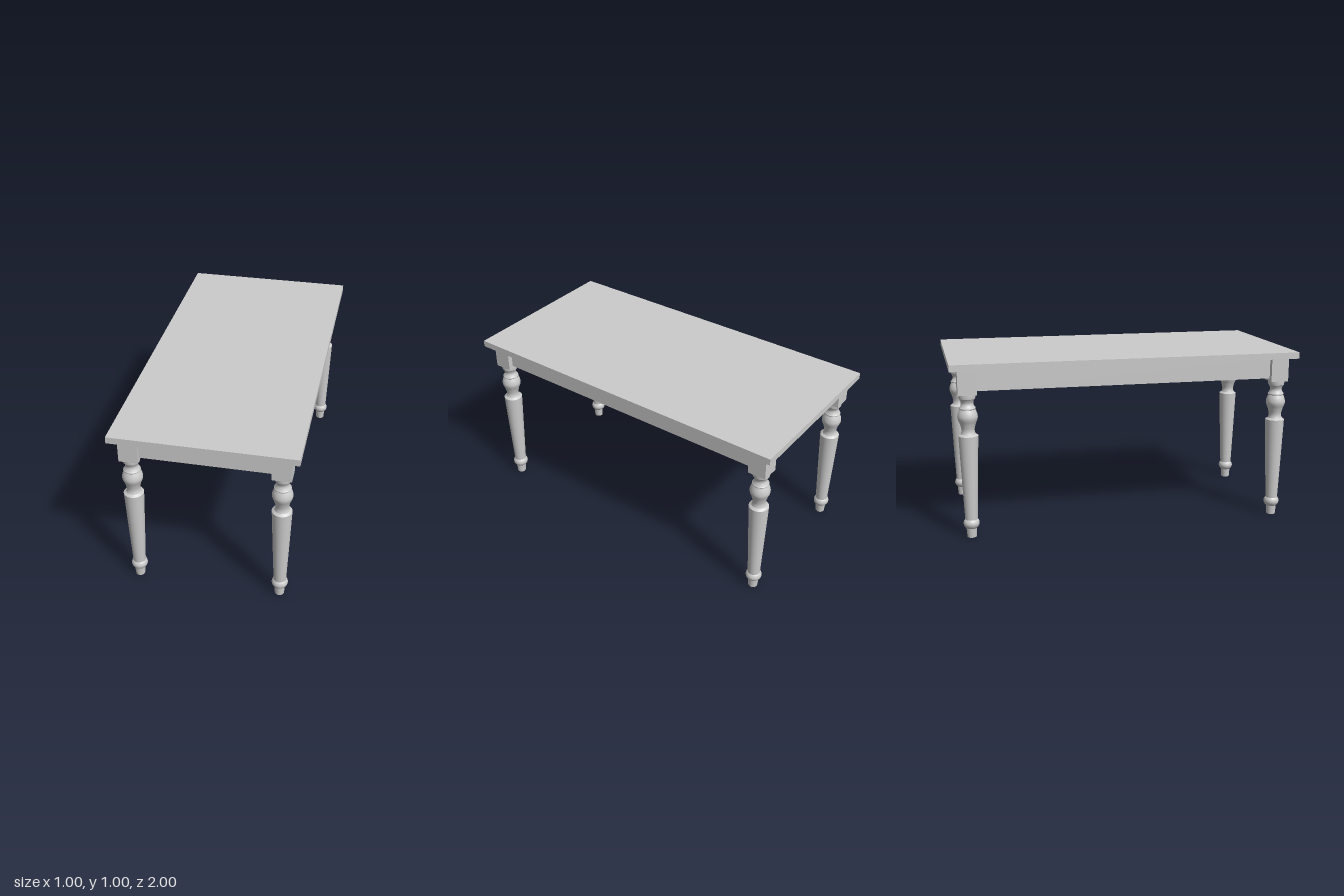
import * as THREE from 'three';

const material = new THREE.MeshStandardMaterial({ color: 0xcccccc });

function box(name, w, h, d, x, y, z) {
  const mesh = new THREE.Mesh(new THREE.BoxGeometry(w, h, d), material);
  mesh.name = name;
  mesh.position.set(x, y, z);
  return mesh;
}

// Turned section from [radius, height] points listed bottom to top
function turned(name, points, curved) {
  let profile = points.map(([r, y]) => new THREE.Vector2(r, y));
  if (curved) profile = new THREE.SplineCurve(profile).getPoints(points.length * 4);
  const mesh = new THREE.Mesh(new THREE.LatheGeometry(profile, 32), material);
  mesh.name = name;
  return mesh;
}

// Each section is smooth in itself and meets its neighbours at a sharp edge
const legSections = [
  ['footBase', [[0, 0], [0.026, 0]]],
  ['foot', [[0.026, 0], [0.030, 0.053]]],
  ['ankleBulb', [[0.030, 0.053], [0.038, 0.061], [0.044, 0.073], [0.045, 0.085], [0.041, 0.097], [0.035, 0.105]], true],
  ['taperedShaft', [[0.035, 0.105], [0.045, 0.34], [0.055, 0.59]]],
  ['shaftShoulder', [[0.055, 0.59], [0.041, 0.600]]],
  ['vase', [[0.041, 0.600], [0.037, 0.613], [0.037, 0.630], [0.044, 0.657], [0.053, 0.680], [0.056, 0.697], [0.052, 0.718], [0.043, 0.739]], true],
  ['ring', [[0.043, 0.739], [0.046, 0.742], [0.046, 0.747], [0.043, 0.750]], true],
  ['neck', [[0.043, 0.750], [0.036, 0.763], [0.034, 0.774], [0.037, 0.785], [0.042, 0.795]], true],
  ['collarStep', [[0.042, 0.795], [0.045, 0.798]]],
  ['collar', [[0.045, 0.798], [0.047, 0.808], [0.047, 0.825]]],
];

function createLeg() {
  const leg = new THREE.Group();
  leg.name = 'leg';
  for (const [name, points, curved] of legSections) leg.add(turned(name, points, curved));
  // Square block at the head of the leg
  leg.add(box('legBlock', 0.104, 0.141, 0.104, 0, 0.8935, 0));
  return leg;
}

export function createModel() {
  const table = new THREE.Group();
  table.name = 'table';
  table.add(box('tableTop', 1, 0.037, 2, 0, 0.9815, 0));

  const legX = 0.404, legZ = 0.904;
  for (const sx of [-1, 1]) {
    for (const sz of [-1, 1]) {
      const leg = createLeg();
      leg.position.set(sx * legX, 0, sz * legZ);
      table.add(leg);
    }
  }

  // Aprons run between the blocks, set back from their outer faces
  for (const s of [-1, 1]) {
    table.add(box('endApron', 0.72, 0.123, 0.03, 0, 0.902, s * 0.912));
    table.add(box('sideApron', 0.03, 0.123, 1.72, s * 0.412, 0.902, 0));
  }
  return table;
}
